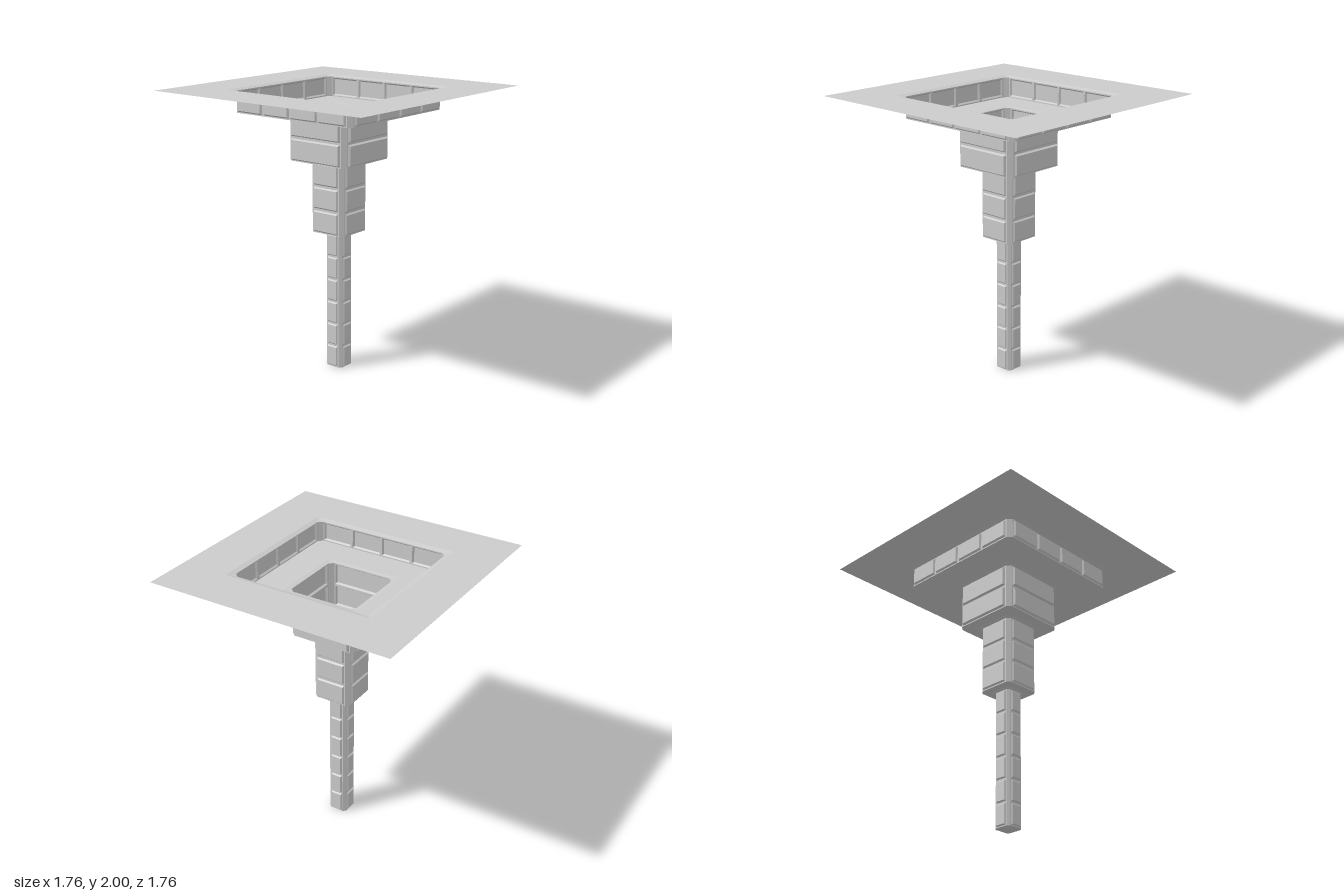
import * as THREE from 'three';
import { mergeGeometries } from 'three/addons/utils/BufferGeometryUtils.js';

const material = new THREE.MeshStandardMaterial({ color: 0xcccccc, flatShading: true, side: THREE.DoubleSide });

// Square of half-width r at height y, with corners cut by c
const loop = (y, r, c) => {
  const a = r - c;
  return [[a, r], [r, a], [r, -a], [a, -r], [-a, -r], [-r, -a], [-r, a], [-a, r]].map(([x, z]) => [x, y, z]);
};

// Surface strip joining two closed loops of equal length
function band(a, b) {
  const pos = [];
  a.forEach((p, i) => {
    const j = (i + 1) % a.length;
    pos.push(...p, ...b[i], ...b[j], ...p, ...b[j], ...a[j]);
  });
  const g = new THREE.BufferGeometry();
  g.setAttribute('position', new THREE.Float32BufferAttribute(pos, 3));
  g.computeVertexNormals();
  return g;
}

const rect = (x0, x1, y0, y1, z) => [[x0, y0, z], [x1, y0, z], [x1, y1, z], [x0, y1, z]];

function add(parent, name, geometry) {
  const mesh = new THREE.Mesh(geometry, material);
  mesh.name = name;
  parent.add(mesh);
  return mesh;
}

// One wall: a flat frame with panels pressed outwards
function wallSide({ bottom, top, wall, panel, cut, rows, columns, gap }) {
  const half = wall - cut;
  const frame = new THREE.Shape([[-half, bottom], [half, bottom], [half, top], [-half, top]].map(p => new THREE.Vector2(...p)));
  const dx = (2 * half) / columns, dy = (top - bottom) / rows;
  const bevel = gap * 0.6;
  const trays = [];
  for (let i = 0; i < columns; i++) for (let j = 0; j < rows; j++) {
    const x0 = -half + i * dx + gap / 2, x1 = x0 + dx - gap;
    const y0 = bottom + j * dy + gap / 2, y1 = y0 + dy - gap;
    frame.holes.push(new THREE.Path([[x0, y0], [x0, y1], [x1, y1], [x1, y0]].map(p => new THREE.Vector2(...p))));
    const rim = rect(x0, x1, y0, y1, wall);
    const back = rect(x0 + bevel, x1 - bevel, y0 + bevel, y1 - bevel, panel);
    const middle = Array(4).fill([(x0 + x1) / 2, (y0 + y1) / 2, panel]);
    trays.push(band(rim, back), band(back, middle));
  }
  return { frame: new THREE.ShapeGeometry(frame).translate(0, 0, wall), panels: mergeGeometries(trays) };
}

export function createModel() {
  const group = new THREE.Group();
  const tiers = [
    { name: 'upperPit', ledge: 2, bottom: 1.845, top: 1.99, hole: 0.54, wall: 0.505, panel: 0.517, cut: 0.03, rows: 1, columns: 4, gap: 0.016 },
    { name: 'secondPit', ledge: 1.845, bottom: 1.51, top: 1.84, hole: 0.28, wall: 0.25, panel: 0.265, cut: 0.03, rows: 2, columns: 1, gap: 0.016 },
    { name: 'thirdPit', ledge: 1.51, bottom: 1.0, top: 1.5, hole: 0.165, wall: 0.142, panel: 0.153, cut: 0.026, rows: 3, columns: 1, gap: 0.016 },
    { name: 'deepShaft', ledge: 1.0, bottom: 0, top: 0.99, hole: 0.085, wall: 0.069, panel: 0.079, cut: 0.018, rows: 6, columns: 1, gap: 0.014 },
  ];

  let outer = loop(2, 0.88, 0);
  for (const t of tiers) {
    const tier = new THREE.Group();
    tier.name = t.name;
    group.add(tier);

    // Flat ledge around the opening, and its sloping lip
    const edge = loop(t.ledge, t.hole, 0);
    add(tier, 'ledge', band(outer, edge));
    add(tier, 'lip', band(edge, loop(t.top, t.wall, t.cut)));

    // Four panelled walls
    const side = wallSide(t);
    for (let k = 0; k < 4; k++) {
      add(tier, 'wallFrame', side.frame).rotation.y = k * Math.PI / 2;
      add(tier, 'wallPanels', side.panels).rotation.y = k * Math.PI / 2;

      // Chamfered corner strip
      const a = t.wall - t.cut, h = t.top - t.bottom;
      const strip = new THREE.PlaneGeometry(t.cut * Math.SQRT2, h)
        .rotateY(Math.PI / 4)
        .translate(a + t.cut / 2, t.bottom + h / 2, a + t.cut / 2);
      add(tier, 'cornerStrip', strip).rotation.y = k * Math.PI / 2;
    }
    outer = loop(t.bottom, t.wall, t.cut);
  }

  // Floor of the shaft
  add(group, 'shaftFloor', band(outer, loop(0, 0, 0)));
  return group;
}
